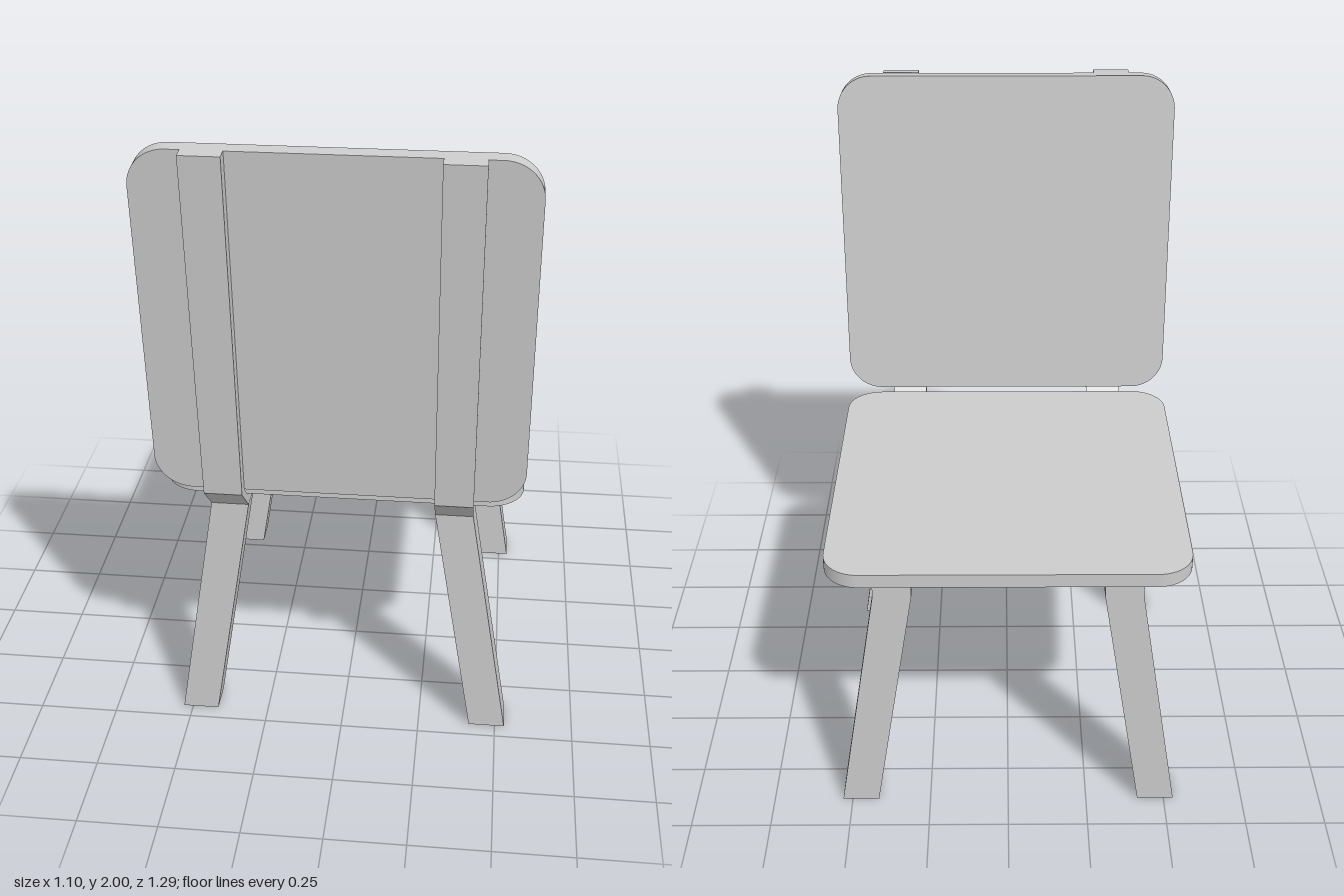
import * as THREE from 'three';

const material = new THREE.MeshStandardMaterial({ color: 0xcccccc });

function addMesh(parent, name, geometry) {
  const mesh = new THREE.Mesh(geometry, material);
  mesh.name = name;
  parent.add(mesh);
  return mesh;
}

// Rounded board in the XY plane, standing on y = 0, thick along +z
function boardGeometry(width, height, radius, thickness) {
  const w = width / 2, h = height, r = radius;
  const shape = new THREE.Shape();
  shape.absarc(w - r, r, r, -Math.PI / 2, 0);
  shape.absarc(w - r, h - r, r, 0, Math.PI / 2);
  shape.absarc(-w + r, h - r, r, Math.PI / 2, Math.PI);
  shape.absarc(-w + r, r, r, Math.PI, Math.PI * 1.5);
  return new THREE.ExtrudeGeometry(shape, { depth: thickness, bevelEnabled: false, curveSegments: 16 });
}

// Box leg standing on y = 0, sheared so its foot splays out sideways
function legGeometry(width, height, depth, splay) {
  const geometry = new THREE.BoxGeometry(width, height, depth).translate(0, height / 2, 0);
  const p = geometry.attributes.position;
  for (let i = 0; i < p.count; i++) p.setX(i, p.getX(i) + splay * (1 - p.getY(i) / height));
  geometry.computeVertexNormals();
  return geometry;
}

export function createModel() {
  const chair = new THREE.Group();
  chair.name = 'chair';

  // Seat board, laid flat
  const seat = addMesh(chair, 'seat', boardGeometry(1.1, 1.095, 0.11, 0.045));
  seat.rotation.x = Math.PI / 2;
  seat.position.set(0, 0.895, -0.645);

  // Backrest board, leaning back
  const backrest = addMesh(chair, 'backrest', boardGeometry(1.1, 1.097, 0.11, 0.046));
  backrest.rotation.x = 0.088;
  backrest.position.set(0, 0.907, 0.464);

  // Bent rail profile (z, y): under the seat, then up behind the backrest
  const railShape = new THREE.Shape([
    [-0.635, 0.81], [0.45, 0.81], [0.55, 0.907], [0.647, 1.994],
    [0.606, 1.997], [0.509, 0.903], [0.455, 0.85], [-0.635, 0.85],
  ].map(([z, y]) => new THREE.Vector2(z, y)));
  const railWidth = 0.115;
  const railGeometry = new THREE.ExtrudeGeometry(railShape, { depth: railWidth, bevelEnabled: false });
  railGeometry.rotateY(-Math.PI / 2).translate(railWidth / 2, 0, 0);

  // Rails and splayed legs on both sides
  for (const [side, label] of [[1, 'left'], [-1, 'right']]) {
    const rail = addMesh(chair, `${label}Rail`, railGeometry);
    rail.position.x = side * 0.343;

    for (const [z, end] of [[0.4, 'back'], [-0.585, 'front']]) {
      const leg = addMesh(chair, `${label}${end === 'back' ? 'Back' : 'Front'}Leg`,
        legGeometry(railWidth, 0.81, 0.1, side * 0.13));
      leg.position.set(side * 0.343, 0, z);
    }
  }
  return chair;
}
